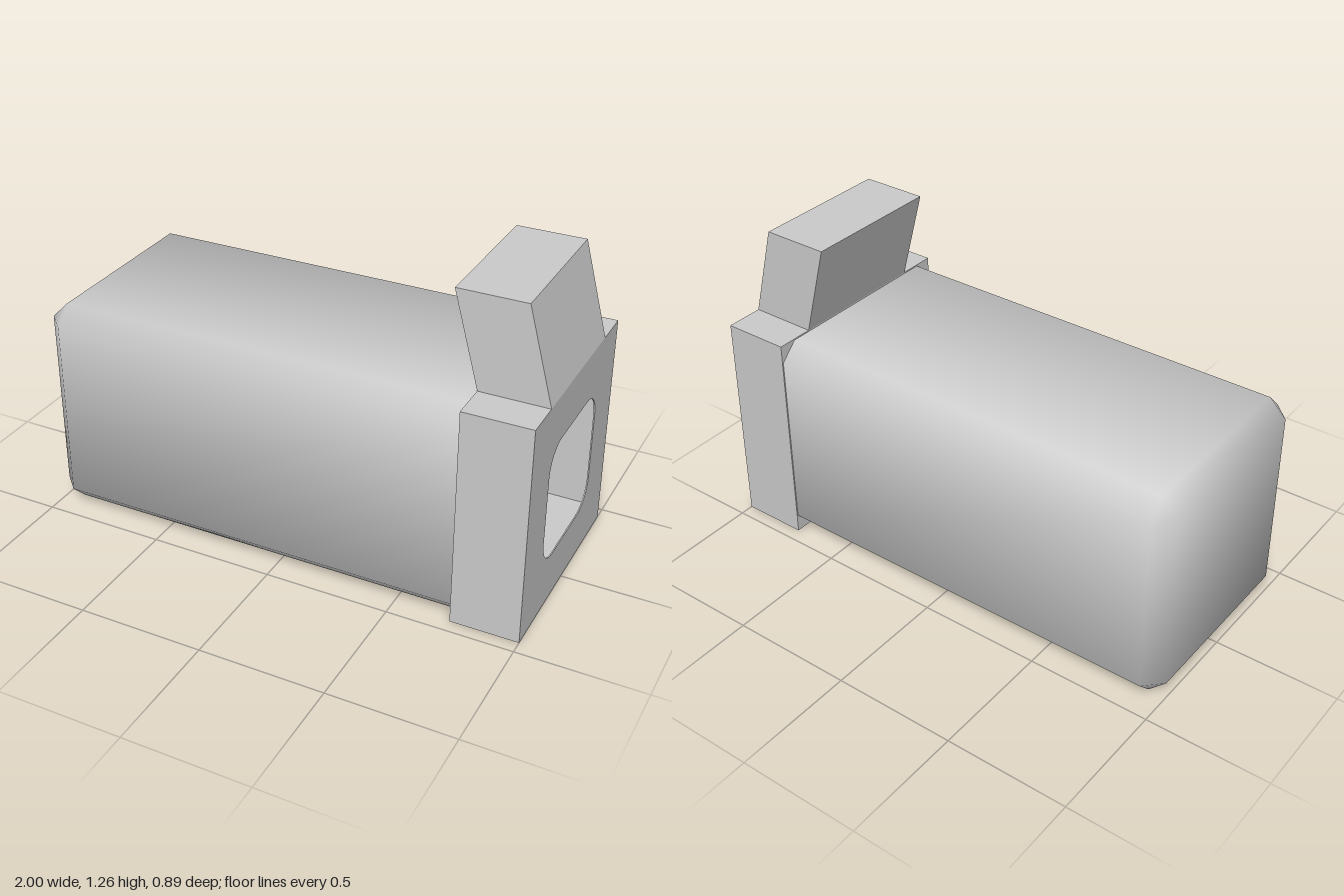
import * as THREE from 'three';

const material = new THREE.MeshStandardMaterial({ color: 0xcccccc });
const MID = 0.445;       // height of the long axis
const NECK = 0.73;       // where the body meets the front block

function part(name, geometry) {
  const mesh = new THREE.Mesh(geometry, material);
  mesh.name = name;
  return mesh;
}

// Rounded rectangle; r = 0 gives a plain rectangle
function rectangle(Type, half, r = 0) {
  const s = new Type();
  if (!r) {
    return s.setFromPoints([[-1, -1], [1, -1], [1, 1], [-1, 1]]
      .map(([x, y]) => new THREE.Vector2(x * half, y * half)));
  }
  const k = half - r;
  s.absarc(k, -k, r, -Math.PI / 2, 0);
  s.absarc(k, k, r, 0, Math.PI / 2);
  s.absarc(-k, k, r, Math.PI / 2, Math.PI);
  s.absarc(-k, -k, r, Math.PI, Math.PI * 1.5);
  s.closePath();
  return s;
}

// Square frame facing +x between x0 and x1
function frame(half, hole, x0, x1) {
  const shape = rectangle(THREE.Shape, half);
  shape.holes.push(hole);
  return new THREE.ExtrudeGeometry(shape, { depth: x1 - x0, bevelEnabled: false, curveSegments: 4 })
    .rotateY(Math.PI / 2).translate(x0, MID, 0);
}

// Long square body with bevelled edges and softly blended normals
function bodyGeometry() {
  const full = 0.44, inset = 0.37;
  const corners = [[1, 1], [-1, 1], [-1, -1], [1, -1]]; // signs of z, y
  const positions = [], normals = [], index = [];
  const add = (x, z, y, n) => {
    positions.push(x, y + MID, z);
    normals.push(...new THREE.Vector3(...n).normalize().toArray());
  };
  const octagon = (x, normalOf) => corners.forEach(([sz, sy], i) => {
    const sides = [[full, inset], [inset, full]];
    if (i % 2) sides.reverse();
    for (const [z, y] of sides) add(x, sz * z, sy * y, normalOf(sz, sy, z > y));
  });
  const blend = (nx) => (sz, sy, onSide) =>
    onSide ? [nx, 1.28 * sy, 3 * sz] : [nx, 3 * sy, 1.28 * sz];

  octagon(NECK, blend(0));        // 0..7 neck
  octagon(-0.93, blend(-1.28));   // 8..15 start of the end bevel
  for (const [sz, sy] of corners) {  // 16..23 end square, each corner twice
    for (let k = 0; k < 2; k++) add(-1, sz * inset, sy * inset, [-3, 1.28 * sy, 1.28 * sz]);
  }
  octagon(NECK, () => [1, 0, 0]); // 24..31 flat cap at the neck

  for (let r = 0; r < 2; r++) {
    for (let i = 0; i < 8; i++) {
      const j = (i + 1) % 8, a = r * 8, b = a + 8;
      // at the end square, a bevel corner closes to a single triangle
      index.push(b + i, a + i, a + j);
      if (r === 0 || i % 2) index.push(b + i, a + j, b + j);
    }
  }
  index.push(16, 18, 20, 16, 20, 22);
  for (let i = 1; i < 7; i++) index.push(24, 24 + i + 1, 24 + i);

  const g = new THREE.BufferGeometry();
  g.setAttribute('position', new THREE.Float32BufferAttribute(positions, 3));
  g.setAttribute('normal', new THREE.Float32BufferAttribute(normals, 3));
  g.setIndex(index);
  return g;
}

export function createModel() {
  const model = new THREE.Group();
  model.name = 'model';

  model.add(part('body', bodyGeometry()));

  // Block with a square pocket behind a thin plate with a rounded window
  const block = new THREE.Group();
  block.name = 'frontBlock';
  block.add(part('blockWalls', frame(0.445, rectangle(THREE.Path, 0.29), NECK, 0.995)));
  block.add(part('windowPlate', frame(0.445, rectangle(THREE.Path, 0.25, 0.11), 0.995, 1)));
  model.add(block);

  // Leaning tab on top of the block
  const outline = new THREE.Shape([[NECK, 0.89], [1, 0.89], [0.9, 1.265], [0.63, 1.265]]
    .map(([x, y]) => new THREE.Vector2(x, y)));
  model.add(part('leaningTab', new THREE.ExtrudeGeometry(outline, { depth: 0.58, bevelEnabled: false })
    .translate(0, 0, -0.29)));

  return model;
}
